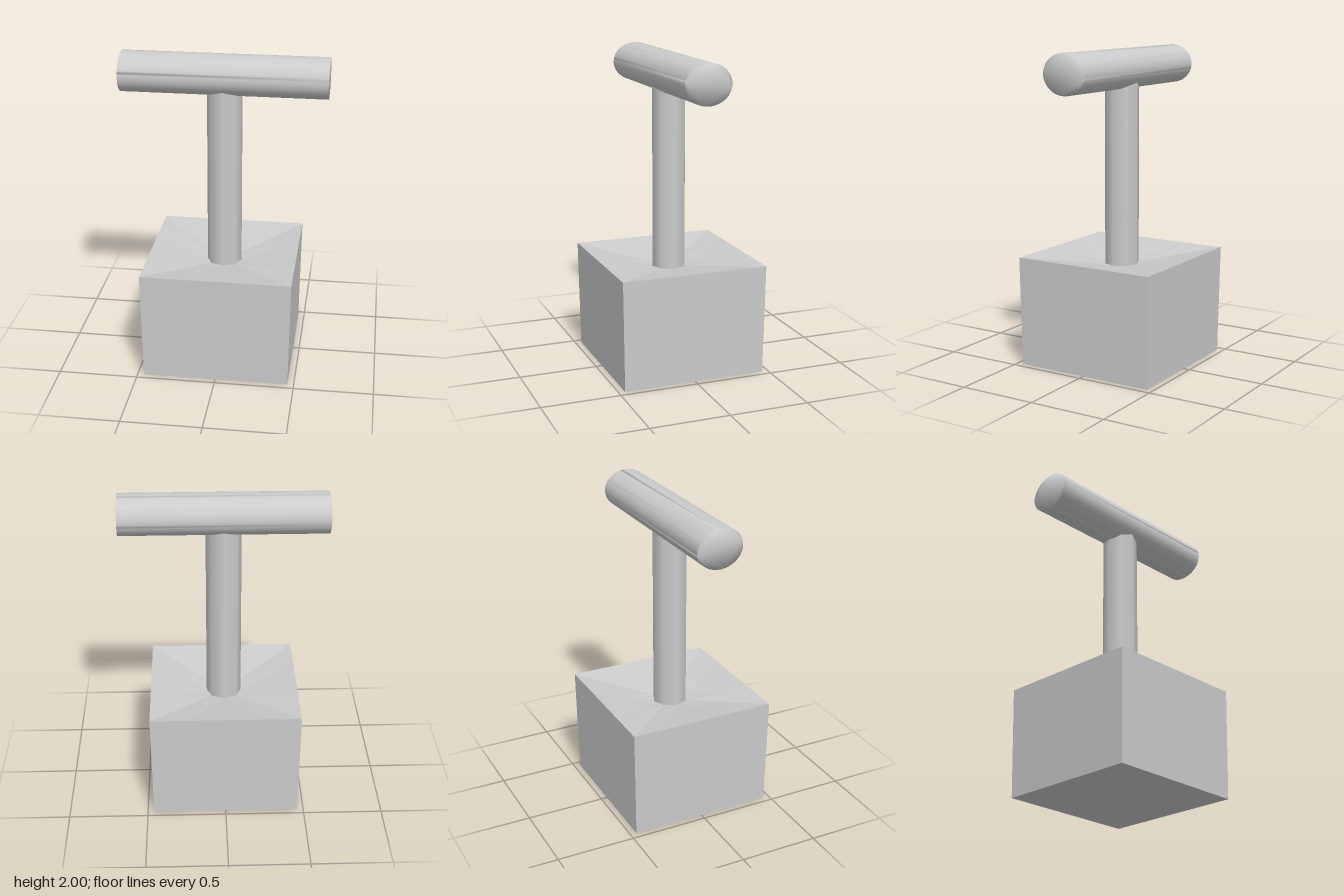
import * as THREE from 'three';
import { mergeVertices } from 'three/addons/utils/BufferGeometryUtils.js';

const grey = (extra = {}) => new THREE.MeshStandardMaterial({ color: 0xcccccc, ...extra });

function part(name, geometry, material) {
  const mesh = new THREE.Mesh(geometry, material);
  mesh.name = name;
  return mesh;
}

// Sixteen points around a square: edge middles, quarter points and corners
function squareLoop(half, y) {
  const loop = [];
  for (let side = 0; side < 4; side++) {
    for (const [px, pz] of [[0, 1], [0.5, 1], [1, 1], [1, 0.5]]) {
      let x = px, z = pz;
      for (let r = 0; r < side; r++) [x, z] = [z, -x];
      loop.push([x * half, y, z * half]);
    }
  }
  return loop;
}

// Slightly flared block whose top sinks in facets towards the post
function baseGeometry(postRadius, ringY) {
  const top = squareLoop(0.47, 0.7);
  const bottom = squareLoop(0.46, 0);
  const ring = [];
  for (let j = 0; j < 8; j++) {
    const a = (j * Math.PI) / 4;
    ring.push([Math.sin(a) * postRadius, ringY, Math.cos(a) * postRadius]);
  }
  const positions = [];
  const tri = (...corners) => corners.forEach((c) => positions.push(...c));

  for (let j = 0; j < 8; j++) {
    const a = ring[j], b = ring[(j + 1) % 8];
    const mid = top[2 * j + 1];
    tri(a, top[2 * j], mid);
    tri(a, mid, b);
    tri(b, mid, top[(2 * j + 2) % 16]);
  }
  for (let i = 0; i < 16; i++) {
    const n = (i + 1) % 16;
    tri(top[i], bottom[i], bottom[n]);
    tri(top[i], bottom[n], top[n]);
    tri([0, 0, 0], bottom[n], bottom[i]);
  }
  const g = new THREE.BufferGeometry();
  g.setAttribute('position', new THREE.Float32BufferAttribute(positions, 3));
  g.computeVertexNormals();
  return g;
}

// Oval bar along x, with normals shared between its side and its flat ends
function barGeometry(length, ry, rz) {
  const oval = new THREE.Shape().absellipse(0, 0, rz, ry, 0, Math.PI * 2);
  let g = new THREE.ExtrudeGeometry(oval, { depth: length, bevelEnabled: false, curveSegments: 32 });
  g.translate(0, 0, -length / 2);
  g.rotateY(Math.PI / 2);
  g.deleteAttribute('uv');
  g.deleteAttribute('normal');
  g = mergeVertices(g, 1e-4);
  g.computeVertexNormals();
  return g;
}

export function createModel() {
  const model = new THREE.Group();
  const postRadius = 0.11, postBottom = 0.634, postTop = 1.8;

  model.add(part('base', baseGeometry(postRadius, postBottom), grey({ flatShading: true })));

  // Eight-sided post reaching into the bar
  const post = new THREE.CylinderGeometry(postRadius, postRadius, postTop - postBottom, 8, 1, true);
  post.translate(0, (postTop + postBottom) / 2, 0);
  model.add(part('post', post, grey()));

  const bar = part('crossbar', barGeometry(1.275, 0.125, 0.147), grey());
  bar.position.y = 1.875;
  model.add(bar);

  return model;
}
